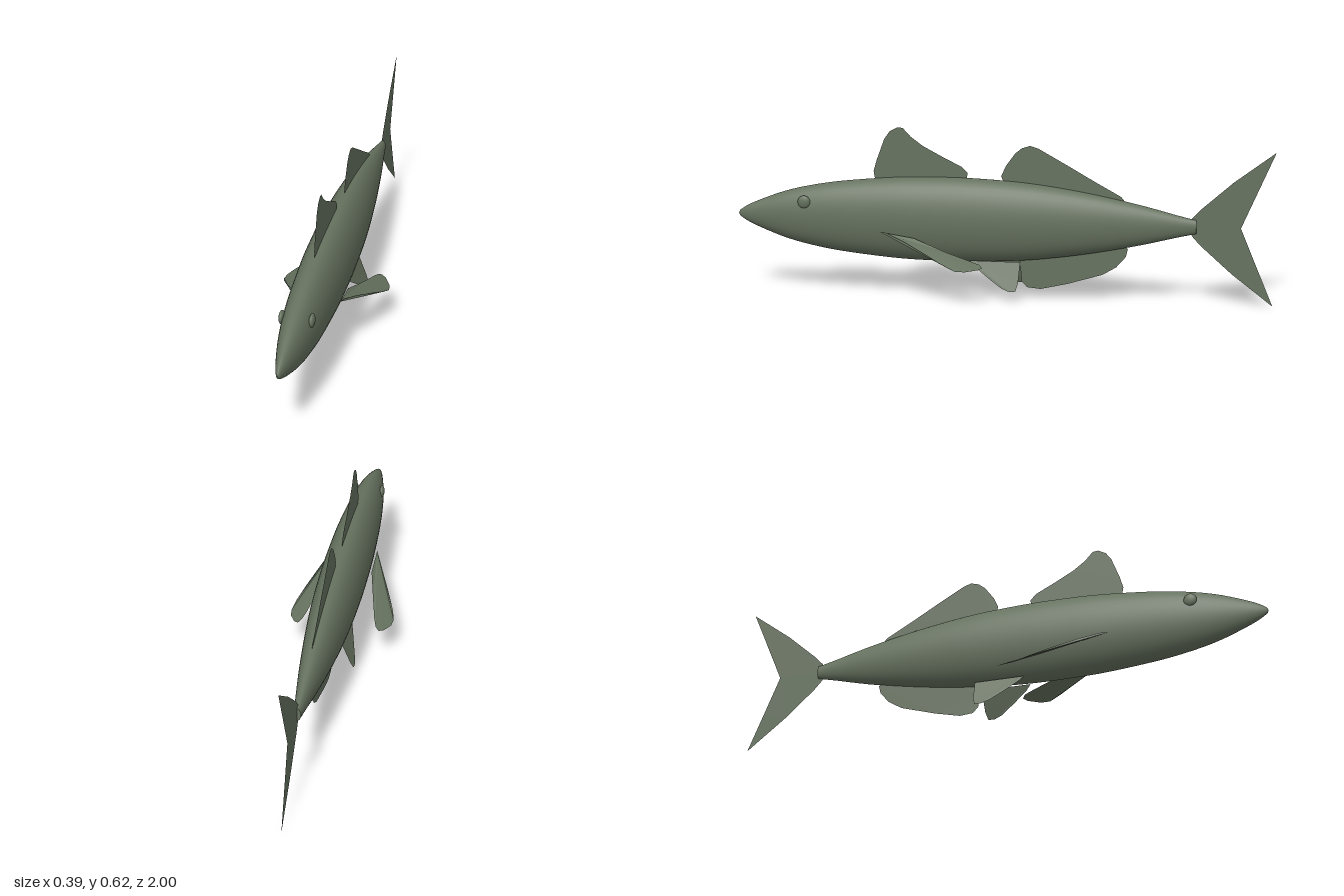
import * as THREE from 'three';

export function createModel() {
  const model = new THREE.Group();
  const skin = new THREE.MeshStandardMaterial({ color: 0x66725f });
  skin.name = 'greyGreenSkin';
  const finSkin = skin.clone();
  finSkin.name = 'greyGreenFin';
  finSkin.side = THREE.DoubleSide;

  const add = (name, geometry, material) => {
    const mesh = new THREE.Mesh(geometry, material);
    mesh.name = name;
    model.add(mesh);
    return mesh;
  };

  // Body: spindle of revolution along z, flattened sideways
  const midY = 0.285, flatten = 0.52;
  const profile = [
    [-0.72, 0.025], [-0.65, 0.041], [-0.5, 0.078], [-0.3, 0.117], [-0.1, 0.144],
    [0.1, 0.156], [0.25, 0.157], [0.4, 0.152], [0.6, 0.133], [0.73, 0.111],
    [0.82, 0.088], [0.9, 0.059], [0.96, 0.033], [0.995, 0.011],
  ].map(([z, r]) => new THREE.Vector2(r, z));
  const outline = new THREE.SplineCurve(profile).getPoints(48);
  outline.push(new THREE.Vector2(0, 1));
  const body = new THREE.LatheGeometry(outline, 40);
  body.rotateX(Math.PI / 2).scale(flatten, 1, 1).translate(0, midY, 0);
  add('body', body, skin);

  // Flat end of the tail root
  const cap = new THREE.CircleGeometry(0.025, 40);
  cap.rotateY(Math.PI).scale(flatten, 1, 1).translate(0, midY, -0.72);
  add('tailRootCap', cap, skin);

  // Upright fins on the centre plane, outlined as [z, y]
  const uprightFins = {
    frontDorsalFin: [
      [0.47, 0.42], [0.477, 0.458], [0.465, 0.5], [0.435, 0.58], [0.415, 0.608], [0.385, 0.624],
      [0.365, 0.622], [0.335, 0.59], [0.29, 0.557], [0.22, 0.52], [0.145, 0.483], [0.122, 0.46], [0.13, 0.42],
    ],
    rearDorsalFin: [
      [-0.02, 0.41], [-0.003, 0.452], [-0.02, 0.49], [-0.055, 0.538], [-0.08, 0.558], [-0.11, 0.567],
      [-0.14, 0.558], [-0.25, 0.497], [-0.35, 0.44], [-0.445, 0.388], [-0.46, 0.37], [-0.44, 0.34], [-0.2, 0.37],
    ],
    analFin: [
      [-0.07, 0.16], [-0.075, 0.11], [-0.08, 0.06], [-0.1, 0.038], [-0.15, 0.033], [-0.25, 0.056],
      [-0.38, 0.095], [-0.43, 0.125], [-0.465, 0.165], [-0.472, 0.195], [-0.45, 0.22], [-0.25, 0.19],
    ],
    tailFin: [
      [-0.69, 0.285], [-0.705, 0.318], [-0.735, 0.35], [-0.85, 0.452], [-1, 0.565], [-0.94, 0.425],
      [-0.88, 0.285], [-0.94, 0.142], [-1, 0], [-0.85, 0.115], [-0.735, 0.217], [-0.705, 0.25],
    ],
  };
  for (const [name, points] of Object.entries(uprightFins)) {
    const shape = new THREE.Shape(points.map(([z, y]) => new THREE.Vector2(z, y)));
    add(name, new THREE.ShapeGeometry(shape).rotateY(-Math.PI / 2), finSkin);
  }

  // Paired fins as triangle fans, outlined as [x, y, z] on the +x side
  const pairedFins = {
    PectoralFin: [
      [0.083, 0.245, 0.435], [0.09, 0.245, 0.415], [0.12, 0.22, 0.34], [0.158, 0.182, 0.25],
      [0.188, 0.148, 0.175], [0.197, 0.132, 0.135], [0.193, 0.13, 0.1], [0.17, 0.134, 0.055],
      [0.154, 0.139, 0.042], [0.141, 0.148, 0.055], [0.13, 0.157, 0.09], [0.108, 0.185, 0.19], [0.082, 0.226, 0.31],
    ],
    PelvicFin: [
      [0.039, 0.14, 0.108], [0.047, 0.12, 0.09], [0.062, 0.08, 0.035], [0.075, 0.047, -0.015],
      [0.08, 0.036, -0.045], [0.079, 0.038, -0.068], [0.068, 0.065, -0.076], [0.039, 0.14, -0.08],
    ],
  };
  for (const [side, sign] of [['left', 1], ['right', -1]]) {
    for (const [name, points] of Object.entries(pairedFins)) {
      const index = [];
      for (let i = 1; i < points.length - 1; i++) index.push(0, i, i + 1);
      const fin = new THREE.BufferGeometry();
      const flat = points.flatMap(([x, y, z]) => [sign * x, y, z]);
      fin.setAttribute('position', new THREE.Float32BufferAttribute(flat, 3));
      fin.setIndex(index);
      // Flat face normals keep the blade evenly lit
      const blade = fin.toNonIndexed();
      blade.computeVertexNormals();
      add(side + name, blade, finSkin);
    }

    // Eye: flattened bead on the side of the head
    const eye = new THREE.SphereGeometry(0.024, 24, 16);
    eye.scale(0.42, 1, 1);
    add(side + 'Eye', eye, skin).position.set(sign * 0.052, 0.343, 0.732);
  }

  return model;
}
